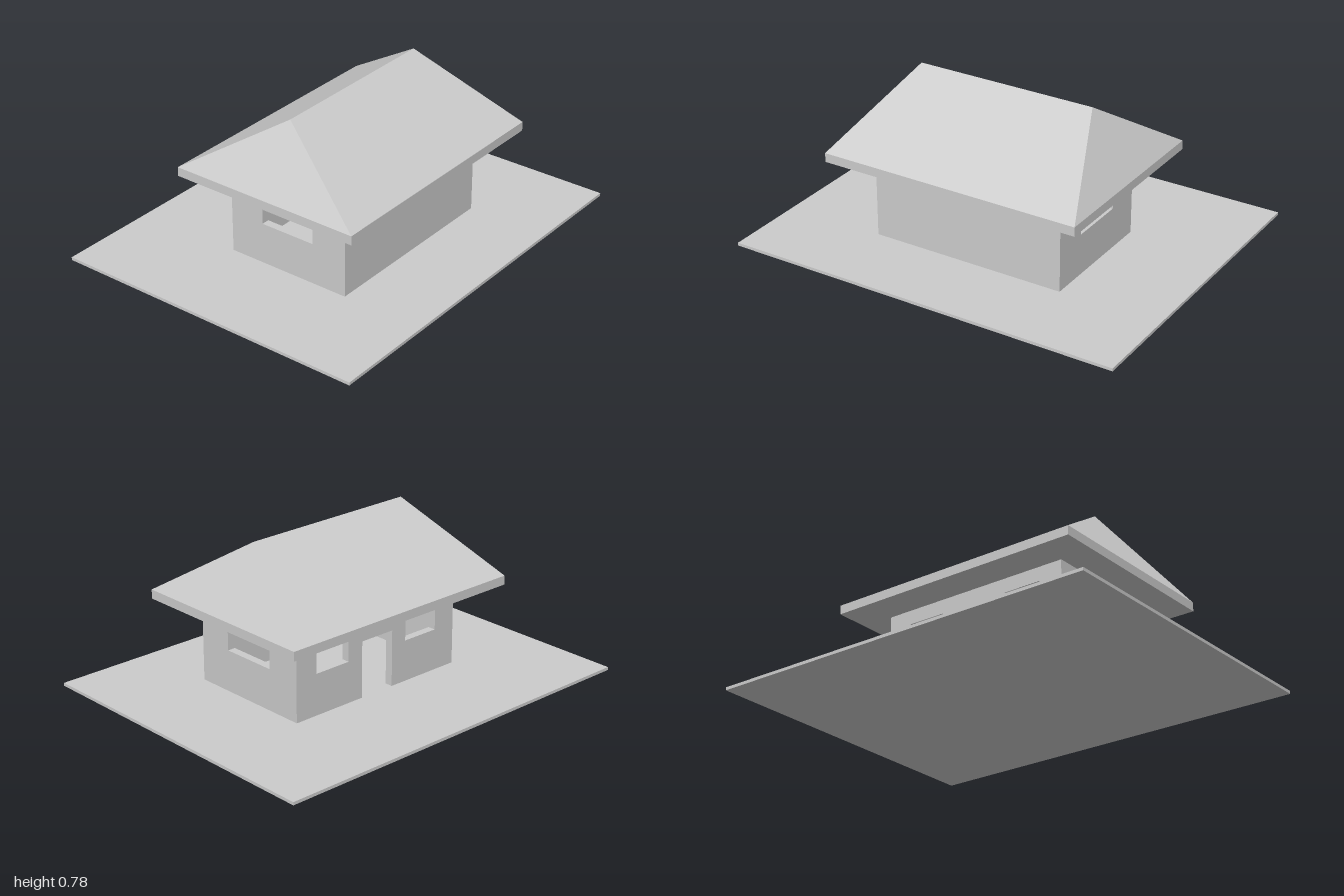
import * as THREE from 'three';

const T = 0.04; // wall thickness
const FLOOR = 0.015, EAVE = 0.42, FASCIA = 0.045, RIDGE = 0.78;
const X0 = -0.495, X1 = 0.495, Z0 = -0.26, Z1 = 0.39;

function polygon(points, Type = THREE.Shape) {
  return new Type(points.map(([x, y]) => new THREE.Vector2(x, y)));
}

const rect = (x0, y0, x1, y1) => [[x0, y0], [x1, y0], [x1, y1], [x0, y1]];

// Wall outline with rectangular window holes, given thickness along +z
function wallGeometry(outline, windows = []) {
  const shape = polygon(outline);
  for (const [a, b] of windows) shape.holes.push(polygon(rect(a, 0.22, b, 0.35).reverse(), THREE.Path));
  return new THREE.ExtrudeGeometry(shape, { depth: T, bevelEnabled: false });
}

export function createModel() {
  const model = new THREE.Group();
  const material = new THREE.MeshStandardMaterial({ color: 0xcccccc, flatShading: true });

  function add(parent, name, geometry, x = 0, y = 0, z = 0) {
    const mesh = new THREE.Mesh(geometry, material);
    mesh.name = name;
    mesh.position.set(x, y, z);
    parent.add(mesh);
    return mesh;
  }

  // Ground slab
  add(model, 'ground', new THREE.BoxGeometry(2, FLOOR, 1.61), 0, FLOOR / 2, 0);

  // Walls: solid front, back with a doorway and two windows, one window per side
  const walls = new THREE.Group();
  walls.name = 'walls';
  model.add(walls);

  add(walls, 'frontWall', wallGeometry(rect(X0, FLOOR, X1, EAVE)), 0, 0, Z1 - T);

  const door = 0.095, doorTop = 0.295;
  const backOutline = [
    [X0, FLOOR], [-door, FLOOR], [-door, doorTop], [door, doorTop],
    [door, FLOOR], [X1, FLOOR], [X1, EAVE], [X0, EAVE],
  ];
  add(walls, 'backWall', wallGeometry(backOutline, [[-0.375, -0.18], [0.18, 0.375]]), 0, 0, Z0);

  // Side walls are drawn along -z and turned to face sideways
  for (const [name, x] of [['leftWall', X1 - T], ['rightWall', X0]]) {
    const side = wallGeometry(rect(-Z1 + T, FLOOR, -Z0 - T, EAVE), [[-0.21, 0.08]]);
    add(walls, name, side, x).rotation.y = Math.PI / 2;
  }

  // Hipped roof: an eave slab below a box whose top is drawn in to a ridge
  const roof = new THREE.Group();
  roof.name = 'roof';
  roof.position.z = 0.06;
  model.add(roof);
  const width = 1.32, depth = 0.985, rise = RIDGE - EAVE - FASCIA;
  add(roof, 'eaves', new THREE.BoxGeometry(width, FASCIA, depth), 0, EAVE + FASCIA / 2, 0);

  const hip = new THREE.BoxGeometry(width, rise, depth);
  const pos = hip.attributes.position;
  for (let i = 0; i < pos.count; i++) {
    if (pos.getY(i) > 0) {
      pos.setX(i, Math.sign(pos.getX(i)) * 0.457);
      pos.setZ(i, 0);
    }
  }
  hip.computeVertexNormals();
  add(roof, 'hippedRoof', hip, 0, EAVE + FASCIA + rise / 2, 0);

  return model;
}
